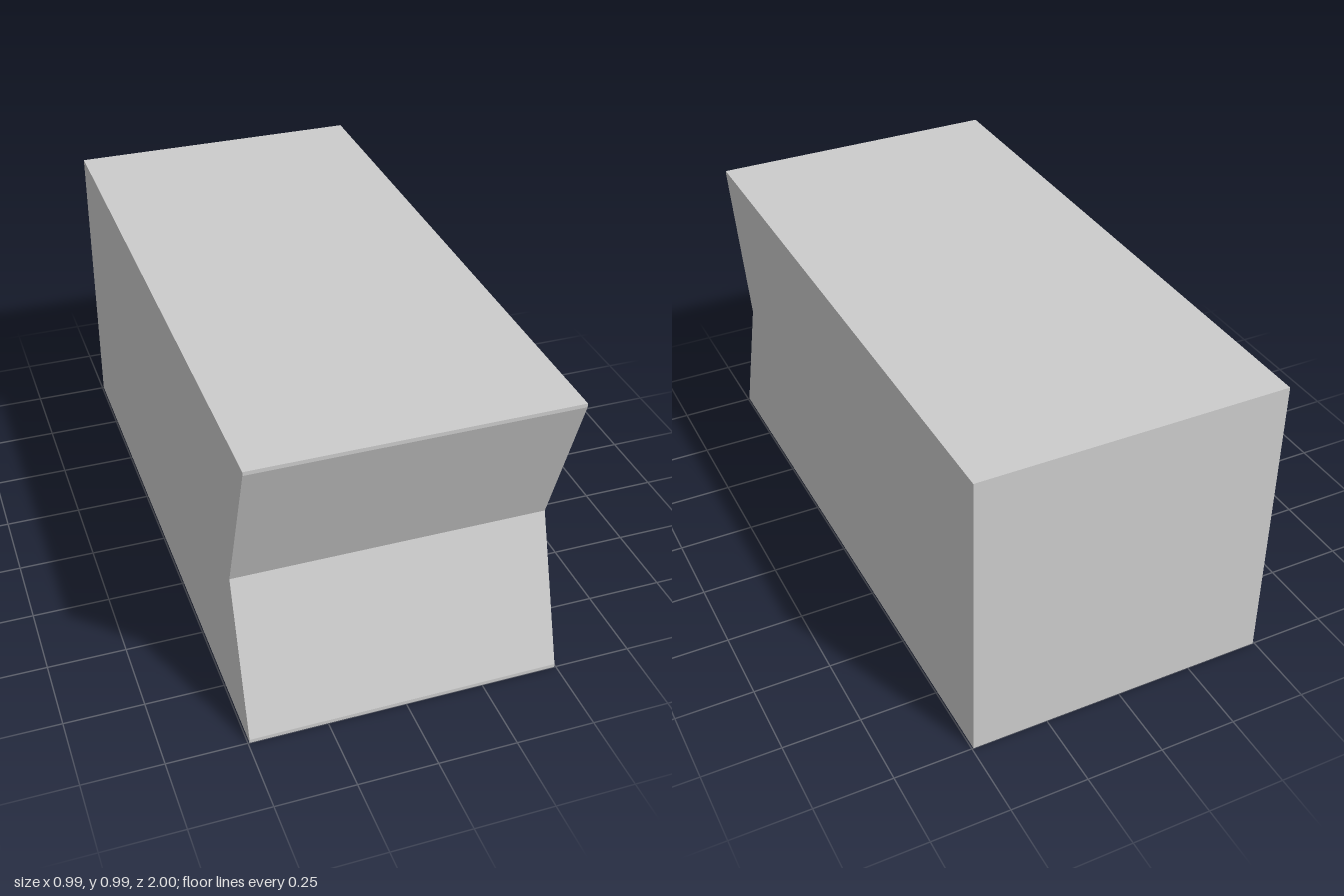
import * as THREE from 'three';

export function createModel() {
  const group = new THREE.Group();
  const width = 0.99, height = 0.988, lip = 0.012, notchZ = 0.835;

  // Side profile as (z, y): a long block with a V notch and thin lips at the front
  const profile = new THREE.Shape([
    [-1, 0], [1, 0], [1, lip], [notchZ, height / 2], [1, height - lip], [1, height], [-1, height],
  ].map(([z, y]) => new THREE.Vector2(z, y)));

  // Extrude across the width, then turn the profile to face +z
  const geometry = new THREE.ExtrudeGeometry(profile, { depth: width, bevelEnabled: false });
  geometry.translate(0, 0, -width / 2);
  geometry.rotateY(-Math.PI / 2);

  const block = new THREE.Mesh(
    geometry,
    new THREE.MeshStandardMaterial({ color: 0xcccccc, flatShading: true }),
  );
  block.name = 'notchedBlock';
  group.add(block);
  return group;
}
